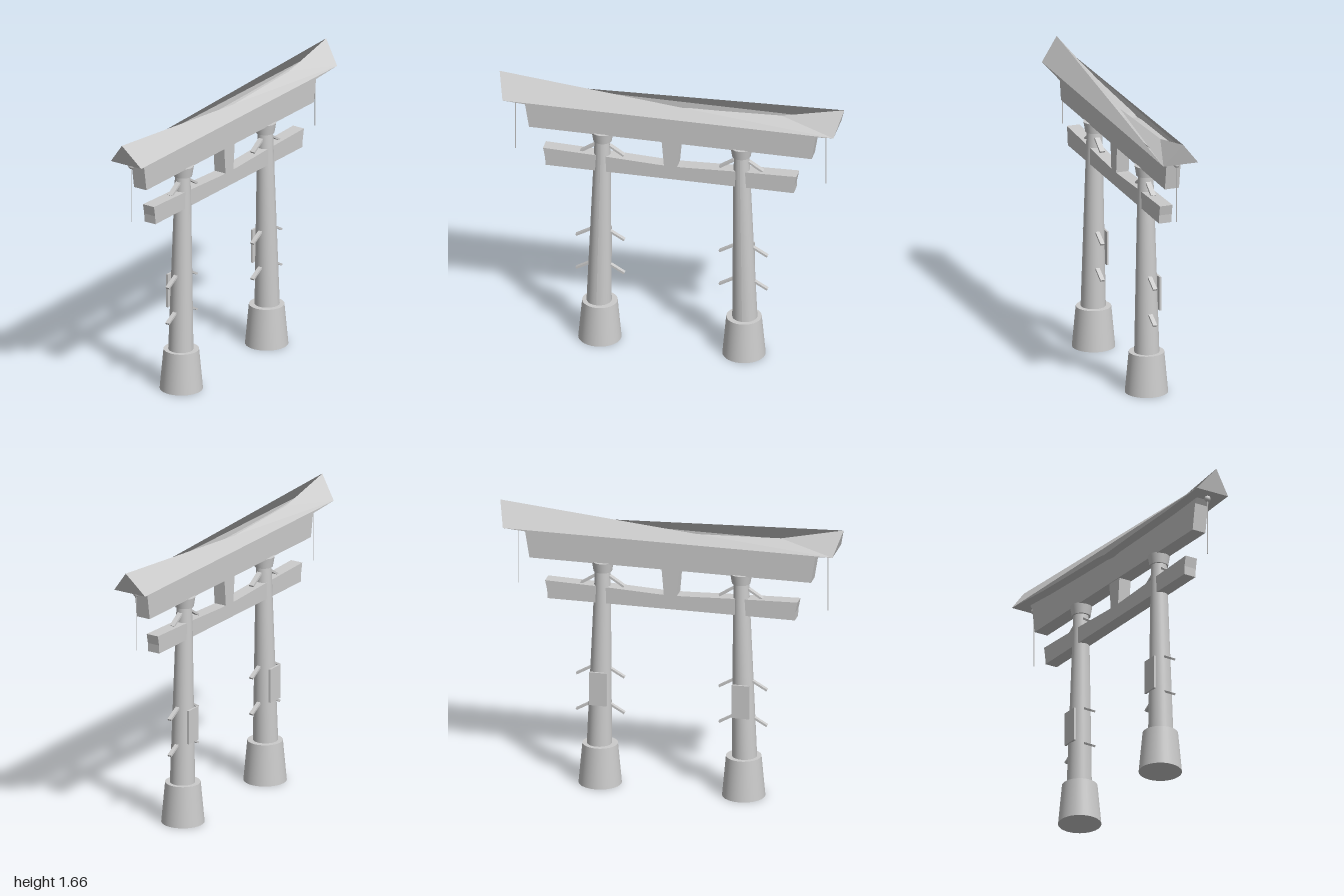
import * as THREE from 'three';

const mat = new THREE.MeshStandardMaterial({ color: 0xcccccc, side: THREE.DoubleSide });
const flat = new THREE.MeshStandardMaterial({ color: 0xcccccc, side: THREE.DoubleSide, flatShading: true });

function add(parent, name, geo, x = 0, y = 0, z = 0, material = mat) {
  const m = new THREE.Mesh(geo, material);
  m.name = name;
  m.position.set(x, y, z);
  parent.add(m);
  return m;
}

// Beam from a front outline, centred on z = 0
function beam(parent, name, outline, depth) {
  const shape = new THREE.Shape(outline.map(([x, y]) => new THREE.Vector2(x, y)));
  const geo = new THREE.ExtrudeGeometry(shape, { depth, bevelEnabled: false });
  return add(parent, name, geo.translate(0, 0, -depth / 2));
}

// Slim square bar between two points in the front plane
function bar(parent, name, [x0, y0], [x1, y1], thick, width) {
  const geo = new THREE.BoxGeometry(Math.hypot(x1 - x0, y1 - y0), thick, width);
  const m = add(parent, name, geo, (x0 + x1) / 2, (y0 + y1) / 2, 0);
  m.rotation.z = Math.atan2(y1 - y0, x1 - x0);
}

// Roof: two slopes, each half a turn from the other, with an open sagging ridge
function roofGeometry() {
  const D = 0.105;
  const A = [-1, 1.665, 0], B = [1, 1.665, 0];
  const eave = [[-0.96, 1.535], [-0.64, 1.515], [-0.37, 1.507], [-0.07, 1.5], [0, 1.492],
    [0.07, 1.5], [0.37, 1.507], [0.64, 1.515], [0.96, 1.535]].map(([x, y]) => [x, y, D]);
  const E = eave[0], C = eave[eave.length - 1];
  const r1 = [0.636, 1.583, 0], r0 = [0, 1.556, 0];
  const half = [[C, A, E], [C, B, r1], [C, r1, r0]];
  const turn = ([x, y, z]) => [-x, y, -z];
  const back = ([x, y, z]) => [x, y, -z];
  // lower edge of the slope
  for (let i = 0; i < eave.length - 2; i++) half.push([C, eave[i], eave[i + 1]]);
  // end cap
  half.push([B, C, back(C)]);
  const tris = [...half, ...half.map((t) => t.map(turn))];
  // underside
  for (let i = 0; i < eave.length - 1; i++) {
    const p = eave[i], q = eave[i + 1];
    tris.push([p, back(p), back(q)], [p, back(q), q]);
  }
  const geo = new THREE.BufferGeometry();
  geo.setAttribute('position', new THREE.Float32BufferAttribute(tris.flat(2), 3));
  geo.computeVertexNormals();
  return geo;
}

// Tapered post whose inner edge is upright, so its axis leans inward
function shaftGeometry(side) {
  const pts = [[0.072, 0.22], [0.048, 1.17], [0.043, 1.31]].map(([r, y]) => new THREE.Vector2(r, y));
  const geo = new THREE.LatheGeometry(pts, 32);
  const p = geo.attributes.position;
  for (let i = 0; i < p.count; i++) {
    const t = Math.min(1, (p.getY(i) - 0.22) / 0.95);
    p.setX(i, p.getX(i) + side * (0.423 - 0.018 * t));
  }
  geo.computeVertexNormals();
  return geo;
}

function column(side) {
  const g = new THREE.Group();
  g.name = side > 0 ? 'leftColumn' : 'rightColumn';
  add(g, 'base', new THREE.CylinderGeometry(0.101, 0.123, 0.24, 32), side * 0.418, 0.12);
  add(g, 'shaft', shaftGeometry(side));
  add(g, 'capital', new THREE.CylinderGeometry(0.063, 0.053, 0.06, 32), side * 0.403, 1.32);
  add(g, 'backPlate', new THREE.BoxGeometry(0.1, 0.2, 0.012), side * 0.415, 0.59, -0.066);
  // pegs sloping down on both sides
  for (const y of [0.65, 0.433]) {
    for (const s of [-1, 1]) {
      const c = side * 0.415;
      bar(g, 'peg', [c + s * 0.04, y + 0.057], [c + s * 0.14, y], 0.012, 0.024);
    }
  }
  // short braces under the capital
  for (const s of [-1, 1]) {
    bar(g, 'brace', [side * 0.403 + s * 0.04, 1.26], [side * 0.403 + s * 0.125, 1.205], 0.012, 0.03);
  }
  return g;
}

export function createModel() {
  const model = new THREE.Group();
  model.name = 'gate';

  add(model, 'roof', roofGeometry(), 0, 0, 0, flat);
  beam(model, 'upperBeam', [[-0.82, 1.345], [0.82, 1.345], [0.845, 1.5], [0.865, 1.528],
    [0, 1.5], [-0.865, 1.528], [-0.845, 1.5]], 0.086);
  beam(model, 'centreStrut', [[-0.038, 1.185], [0.038, 1.185], [0.053, 1.36], [-0.053, 1.36]], 0.076);
  beam(model, 'lowerBeam', [[-0.725, 1.105], [0.715, 1.105], [0.718, 1.155], [0.73, 1.213],
    [0.37, 1.203], [0.07, 1.19], [-0.07, 1.19], [-0.37, 1.203], [-0.74, 1.215], [-0.728, 1.155]], 0.076);

  for (const side of [-1, 1]) model.add(column(side));

  // hanging cords under the roof ends
  for (const x of [-0.908, 0.893]) {
    add(model, 'cordKnob', new THREE.SphereGeometry(0.018, 16, 10), x, 1.513);
    add(model, 'cord', new THREE.CylinderGeometry(0.0025, 0.0025, 0.35, 8), x, 1.345);
  }
  return model;
}
